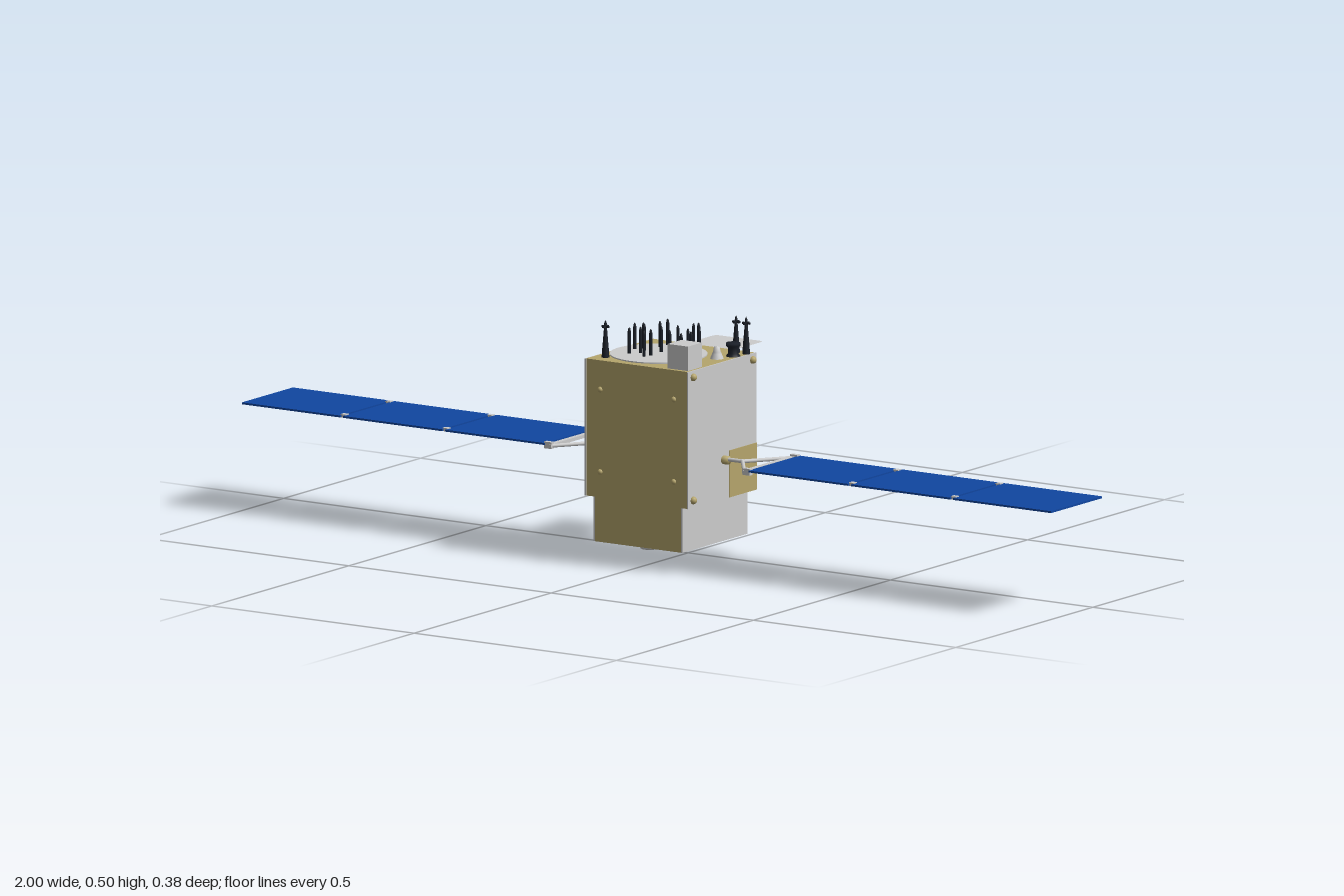
import * as THREE from 'three';

const mat = (color) => new THREE.MeshStandardMaterial({ color });
const GREY = mat(0xcccccc);
const GOLD = mat(0xb5a56c);
const BLUE = mat(0x1046a0);
const BLACK = mat(0x1a1f28);

function add(parent, name, geometry, material, x = 0, y = 0, z = 0) {
  const mesh = new THREE.Mesh(geometry, material);
  mesh.name = name;
  mesh.position.set(x, y, z);
  parent.add(mesh);
  return mesh;
}

// box given by its limits
function box(parent, name, material, [x0, x1], [y0, y1], [z0, z1]) {
  return add(parent, name, new THREE.BoxGeometry(x1 - x0, y1 - y0, z1 - z0), material,
    (x0 + x1) / 2, (y0 + y1) / 2, (z0 + z1) / 2);
}

// round bar between two points
function rod(parent, name, material, a, b, r) {
  const p = new THREE.Vector3(...a), q = new THREE.Vector3(...b);
  const mesh = add(parent, name, new THREE.CylinderGeometry(r, r, p.distanceTo(q), 10), material);
  mesh.position.copy(p).lerp(q, 0.5);
  mesh.quaternion.setFromUnitVectors(new THREE.Vector3(0, 1, 0), q.sub(p).normalize());
  return mesh;
}

function lathe(parent, name, material, points, x, y, z, segments = 16) {
  const profile = points.map(([r, h]) => new THREE.Vector2(r, h));
  return add(parent, name, new THREE.LatheGeometry(profile, segments), material, x, y, z);
}

function createBody() {
  const g = new THREE.Group();
  g.name = 'body';
  box(g, 'upperBody', GOLD, [-0.126, 0.126], [0.137, 0.423], [-0.058, 0.187]);
  box(g, 'lowerBody', GOLD, [-0.107, 0.107], [0.043, 0.138], [-0.054, 0.183]);
  // grey side panels, with a gold patch low at the back on one side
  box(g, 'leftSidePanel', GREY, [0.125, 0.128], [0.137, 0.423], [-0.06, 0.189]);
  box(g, 'rightSidePanel', GREY, [-0.128, -0.125], [0.137, 0.423], [-0.06, 0.189]);
  box(g, 'sidePatch', GOLD, [0.126, 0.1295], [0.137, 0.235], [-0.06, 0.04]);
  for (const s of [-1, 1]) {
    box(g, 'lowerSidePanel', GREY, [s * 0.108 - 0.0015, s * 0.108 + 0.0015], [0.043, 0.137], [-0.054, 0.183]);
    for (const [y, z] of [[0.41, 0.172], [0.41, -0.045], [0.153, 0.172]])
      add(g, 'sideBolt', new THREE.SphereGeometry(0.008, 14, 10), GOLD, s * 0.129, y, z);
    for (const y of [0.19, 0.362])
      add(g, 'frontBolt', new THREE.SphereGeometry(0.006, 14, 10), GOLD, s * 0.091, y, 0.186);
  }
  // thruster under the body
  lathe(g, 'thruster', GREY, [[0, 0], [0.018, 0], [0.021, 0.004], [0.02, 0.01], [0.016, 0.019],
    [0.016, 0.025], [0.019, 0.034], [0.023, 0.044]], -0.092, 0, 0.005, 24);
  return g;
}

function createTopDeck() {
  const g = new THREE.Group();
  g.name = 'topDeck';
  const y = 0.423;
  add(g, 'antennaDisc', new THREE.CylinderGeometry(0.1, 0.1, 0.003, 48), GREY, -0.027, y + 0.001, 0.068);
  // field of short rod antennas: [x, z]
  const spikes = [[-0.06, -0.014], [0.015, -0.016], [-0.06, 0.014], [-0.005, 0.03], [0.048, 0.03],
    [0.03, 0.045], [-0.08, 0.045], [-0.03, 0.054], [-0.092, 0.059], [-0.068, 0.059], [0.053, 0.068],
    [0.01, 0.082], [-0.06, 0.085], [0.047, 0.095], [-0.028, 0.095], [-0.075, 0.104], [-0.032, 0.114], [0.01, -0.005]];
  for (const [x, z] of spikes)
    lathe(g, 'rodAntenna', BLACK, [[0.0035, 0], [0.0035, 0.048], [0.002, 0.055], [0, 0.057]], x, y, z, 10);
  // tall antennas with a small cross near the tip
  for (const [x, z] of [[-0.1, 0.154], [0.094, -0.036], [0.119, -0.036]]) {
    const a = new THREE.Group();
    a.name = 'crossAntenna';
    a.position.set(x, y, z);
    lathe(a, 'mast', BLACK, [[0.008, 0], [0.007, 0.015], [0.004, 0.05], [0.0025, 0.072], [0, 0.078]], 0, 0, 0, 12);
    box(a, 'crossBar', BLACK, [-0.009, 0.009], [0.062, 0.066], [-0.002, 0.002]);
    box(a, 'crossBar', BLACK, [-0.002, 0.002], [0.062, 0.066], [-0.009, 0.009]);
    g.add(a);
  }
  box(g, 'equipmentBox', GREY, [0.07, 0.12], [y, 0.474], [0.127, 0.178]);
  // flared dark sensor and stepped grey cone
  lathe(g, 'sensor', BLACK, [[0.015, 0], [0.011, 0.006], [0.011, 0.018], [0.015, 0.022], [0.015, 0.028], [0, 0.028]], 0.11, y, -0.002);
  lathe(g, 'coneHorn', GREY, [[0.014, 0], [0.01, 0.01], [0.008, 0.014], [0.006, 0.024], [0, 0.026]], 0.096, y, 0.037);
  return g;
}

// flat rounded plate with a shallow pyramid below
function createRearReflector() {
  const g = new THREE.Group();
  g.name = 'rearReflector';
  const w = 0.06, d = 0.062, r = 0.01, ring = [];
  for (let i = 0; i < 4; i++)
    for (let j = 0; j <= 3; j++) {
      const a = (i + j / 3) * Math.PI / 2;
      const sx = i === 0 || i === 3 ? 1 : -1, sz = i < 2 ? 1 : -1;
      ring.push([sx * (w - r) + r * Math.cos(a), sz * (d - r) + r * Math.sin(a)]);
    }
  const pos = [];
  ring.forEach(([x, z], i) => {
    const [u, v] = ring[(i + 1) % ring.length];
    pos.push(0, 0, 0, u, 0, v, x, 0, z);
    pos.push(0, -0.01, 0, x, 0, z, u, 0, v);
  });
  const geo = new THREE.BufferGeometry();
  geo.setAttribute('position', new THREE.Float32BufferAttribute(pos, 3));
  geo.computeVertexNormals();
  const m = GREY.clone();
  m.side = THREE.DoubleSide;
  add(g, 'reflectorPlate', geo, m, 0, 0.417, -0.126);
  for (const x of [-0.037, 0.037])
    box(g, 'reflectorTab', GREY, [x - 0.006, x + 0.006], [0.413, 0.418], [-0.07, -0.056]);
  return g;
}

// one wing, reaching out along +x
function createWing(name) {
  const g = new THREE.Group();
  g.name = name;
  const y = 0.224, yb = 0.221, zc = 0.06, z0 = -0.034, z1 = 0.152;
  for (const [a, b] of [[0.252, 0.498], [0.506, 0.75], [0.758, 1]])
    box(g, 'solarPanel', BLUE, [a, b], [y - 0.002, y + 0.002], [z0, z1]);
  for (const x of [0.502, 0.754])
    for (const z of [z0 + 0.012, z1 - 0.012])
      box(g, 'panelHinge', GREY, [x - 0.006, x + 0.006], [y - 0.003, y + 0.004], [z - 0.006, z + 0.006]);
  // yoke: inner arm, two spreading struts and an end bar
  lathe(g, 'wingJoint', GOLD, [[0.009, 0], [0.009, 0.014], [0, 0.014]], 0.127, yb - 0.002, zc).rotation.z = -Math.PI / 2;
  rod(g, 'yokeArm', GREY, [0.126, yb, zc], [0.175, yb, zc], 0.004);
  add(g, 'yokeKnuckle', new THREE.SphereGeometry(0.005, 12, 8), GREY, 0.175, yb, zc);
  for (const z of [z0 + 0.006, z1 - 0.006]) {
    rod(g, 'yokeStrut', GREY, [0.175, yb, zc], [0.238, yb, z], 0.004);
    box(g, 'yokeHinge', GREY, [0.236, 0.254], [yb - 0.006, yb + 0.008], [z - 0.005, z + 0.005]);
  }
  box(g, 'yokeEndBar', GREY, [0.236, 0.247], [yb - 0.003, yb + 0.004], [z0, z1]);
  return g;
}

export function createModel() {
  const model = new THREE.Group();
  model.name = 'satellite';
  const rightWing = createWing('rightWing');
  rightWing.rotation.y = Math.PI;
  rightWing.position.z = 0.118;
  model.add(createBody(), createTopDeck(), createRearReflector(), createWing('leftWing'), rightWing);
  return model;
}
